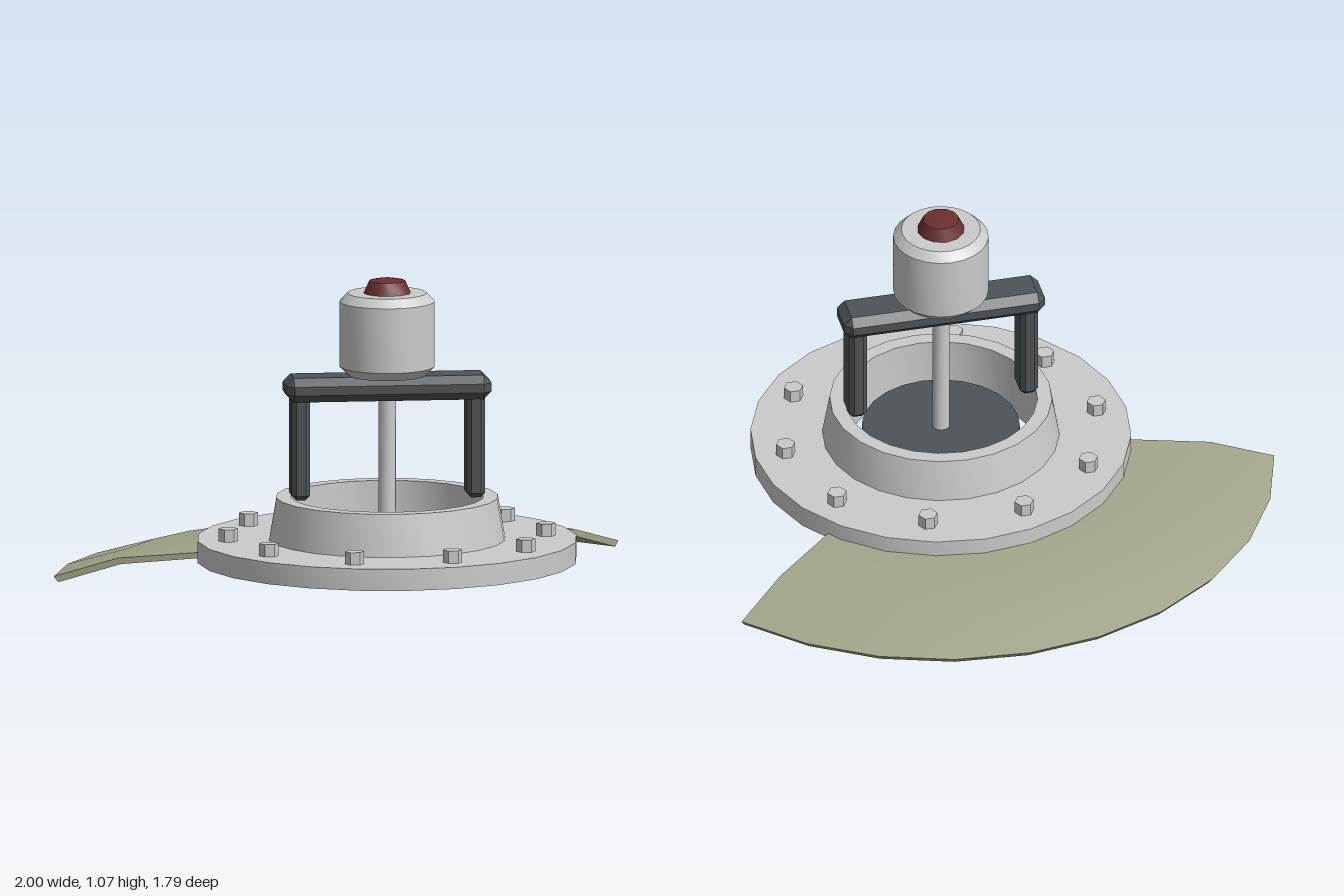
import * as THREE from 'three';
import { toCreasedNormals } from 'three/addons/utils/BufferGeometryUtils.js';
import { ConvexGeometry } from 'three/addons/geometries/ConvexGeometry.js';

const mat = (color) => new THREE.MeshStandardMaterial({ color });
const grey = mat(0xcccccc);
const dark = mat(0x4d5356);
const olive = mat(0xa2a58a);
olive.side = THREE.DoubleSide;
const red = mat(0x6b2f2f);

const DEG = Math.PI / 180;

// Revolved [radius, y] profile with smooth walls and sharp rims
function lathe(points, segments, start = 0, length = Math.PI * 2) {
  const pts = points.map(([r, y]) => new THREE.Vector2(r, y));
  return toCreasedNormals(new THREE.LatheGeometry(pts, segments, start, length), 0.5);
}

// Box with every edge cut at 45 degrees
function chamferBox(w, h, d, c) {
  const pts = [];
  for (const x of [-1, 1]) for (const y of [-1, 1]) for (const z of [-1, 1]) {
    pts.push(new THREE.Vector3(x * w / 2, y * (h / 2 - c), z * (d / 2 - c)));
    pts.push(new THREE.Vector3(x * (w / 2 - c), y * h / 2, z * (d / 2 - c)));
    pts.push(new THREE.Vector3(x * (w / 2 - c), y * (h / 2 - c), z * d / 2));
  }
  return new ConvexGeometry(pts);
}

export function createModel() {
  const model = new THREE.Group();
  model.name = 'valveAssembly';
  // Everything shares one vertical axis
  const axis = new THREE.Group();
  axis.name = 'valve';
  axis.position.set(0.12, 0, 0.24);
  model.add(axis);

  const add = (name, geometry, material, x = 0, y = 0, z = 0) => {
    const mesh = new THREE.Mesh(geometry, material);
    mesh.name = name;
    mesh.position.set(x, y, z);
    axis.add(mesh);
    return mesh;
  };

  // Flange with raised tapered neck and straight bore
  add('flange', lathe([
    [0.33, 0.09], [0.65, 0.09], [0.65, 0.165], [0.405, 0.165],
    [0.38, 0.31], [0.33, 0.31], [0.33, 0.09],
  ], 24), grey);

  // Ring of hex bolts
  const boltGeometry = new THREE.CylinderGeometry(0.033, 0.033, 0.05, 6).toNonIndexed();
  boltGeometry.computeVertexNormals();
  boltGeometry.rotateY(Math.PI / 2);
  for (let i = 0; i < 10; i++) {
    const a = i * 36 * DEG;
    add('bolt', boltGeometry, grey, 0.545 * Math.cos(a), 0.183, 0.545 * Math.sin(a));
  }

  // Valve disc and its stem
  add('valveDisc', lathe([[0, 0.178], [0.27, 0.178], [0.27, 0.195], [0, 0.195]], 24), dark);
  add('stem', toCreasedNormals(new THREE.CylinderGeometry(0.03, 0.03, 0.5, 12), 0.6), grey, 0, 0.43, 0);

  // Yoke: two legs and a crossbar
  for (const side of [-1, 1]) {
    add('yokeLeg', chamferBox(0.064, 0.36, 0.108, 0.016), dark, side * 0.3, 0.487, 0);
  }
  add('yokeCrossbar', chamferBox(0.705, 0.084, 0.16, 0.027), dark, 0, 0.69, 0);

  // Actuator housing and cap
  add('actuator', lathe([
    [0, 0.73], [0.132, 0.73], [0.163, 0.761], [0.163, 0.985], [0.135, 1.014], [0, 1.014],
  ], 24), grey);
  add('actuatorCap', lathe([[0.082, 1.012], [0.062, 1.056], [0, 1.068]], 12), red);

  // Curved sheet: a 130 degree sector sloping down from the flange
  const profile = [
    [0.45, 0.098], [0.66, 0.087], [0.91, 0.065], [1.125, 0],
    [1.14, 0.02], [0.92, 0.086], [0.66, 0.107], [0.45, 0.118], [0.45, 0.098],
  ];
  const start = 130 * DEG, span = 130 * DEG;
  add('shellSector', lathe(profile, 10, start, span), olive);
  const endShape = new THREE.Shape(profile.map(([r, y]) => new THREE.Vector2(r, y)));
  for (const phi of [start, start + span]) {
    const end = add('shellEnd', new THREE.ShapeGeometry(endShape), olive);
    end.rotation.y = phi - Math.PI / 2;
  }
  return model;
}
